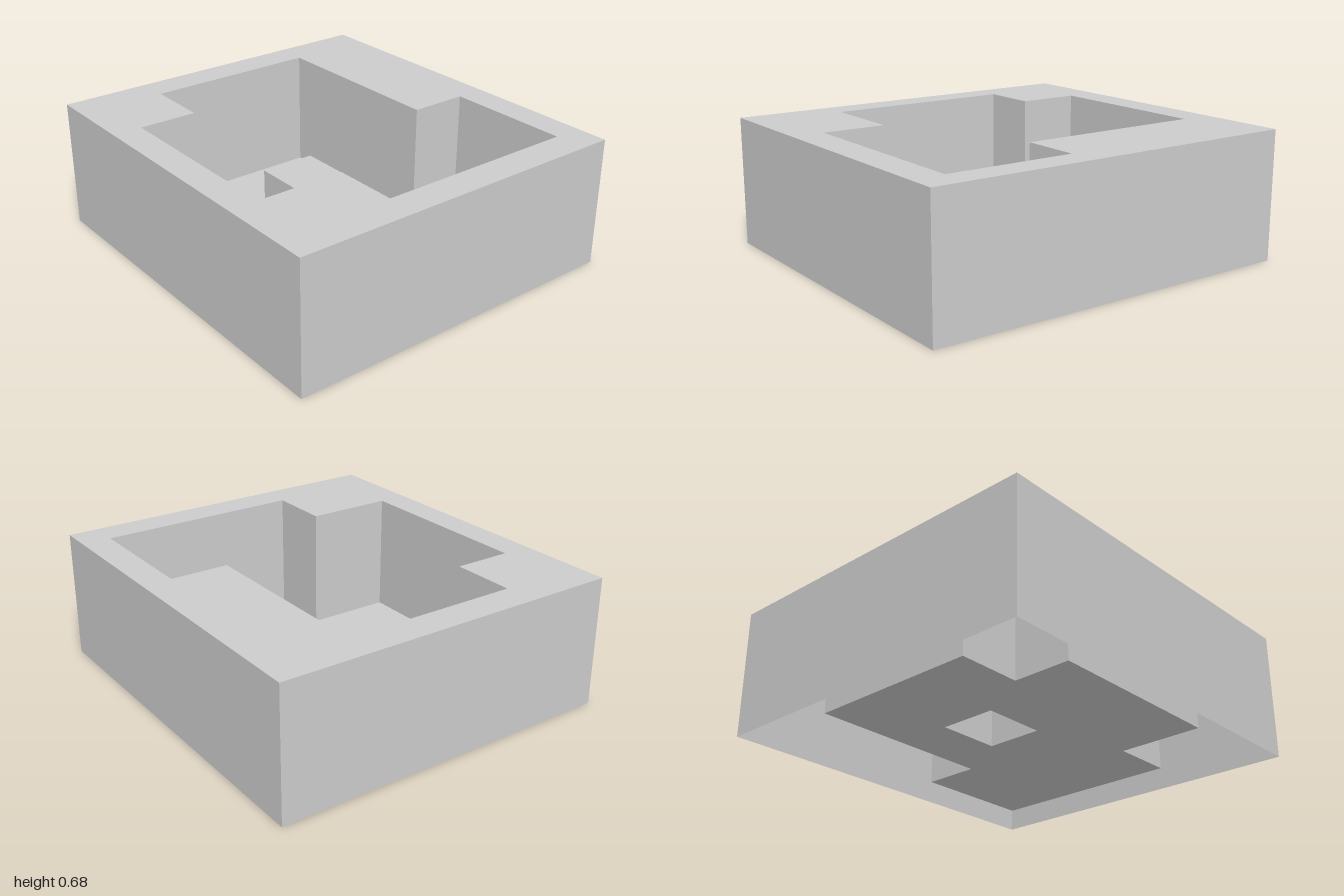
import * as THREE from 'three';

const HEIGHT = 0.675, FLOOR = 0.045, PEDESTAL = 0.325;
const UX = 0.1523, UZ = 1 / 6; // plan grid steps

// Plan outlines as [x, z] in grid steps
const plan = (pts) => pts.map(([x, z]) => new THREE.Vector2(x * UX, z * UZ));
const OUTER = plan([[-6, 6], [6, 6], [6, -6], [-6, -6]]);
const PIT = plan([
  [-3, -5], [3, -5], [3, 1], [5, 1], [5, 5],
  [-2, 5], [-2, 3], [-5, 3], [-5, -3], [-3, -3],
]);
const BLOCK = plan([[-1, 0], [1, 0], [1, -2], [-1, -2]]);

export function createModel() {
  const group = new THREE.Group();
  const material = new THREE.MeshStandardMaterial({
    color: 0xcccccc, flatShading: true, side: THREE.DoubleSide,
  });

  const add = (name, geometry) => {
    const mesh = new THREE.Mesh(geometry, material);
    mesh.name = name;
    group.add(mesh);
  };

  // Upright walls following a closed outline
  const addWalls = (name, loop, y0, y1) => {
    const pos = [];
    loop.forEach((a, i) => {
      const b = loop[(i + 1) % loop.length];
      pos.push(a.x, y0, a.y, b.x, y0, b.y, b.x, y1, b.y);
      pos.push(a.x, y0, a.y, b.x, y1, b.y, a.x, y1, a.y);
    });
    const geometry = new THREE.BufferGeometry();
    geometry.setAttribute('position', new THREE.Float32BufferAttribute(pos, 3));
    geometry.computeVertexNormals();
    add(name, geometry);
  };

  // Level sheet facing up, optionally with an opening
  const addSheet = (name, loop, y, hole) => {
    const flip = (pts) => pts.map((p) => new THREE.Vector2(p.x, -p.y));
    const shape = new THREE.Shape(flip(loop));
    if (hole) shape.holes.push(new THREE.Path(flip(hole)));
    add(name, new THREE.ShapeGeometry(shape).rotateX(-Math.PI / 2).translate(0, y, 0));
  };

  // Outer shell, open underneath
  addWalls('outerWalls', OUTER, 0, HEIGHT);
  addSheet('topRim', OUTER, HEIGHT, PIT);

  // Stepped recess
  addWalls('recessWalls', PIT, FLOOR, HEIGHT);
  addSheet('recessFloor', PIT, FLOOR, BLOCK);

  // Hollow pedestal rising from the recess floor
  addWalls('pedestalWalls', BLOCK, FLOOR, PEDESTAL);
  addSheet('pedestalTop', BLOCK, PEDESTAL);

  return group;
}
